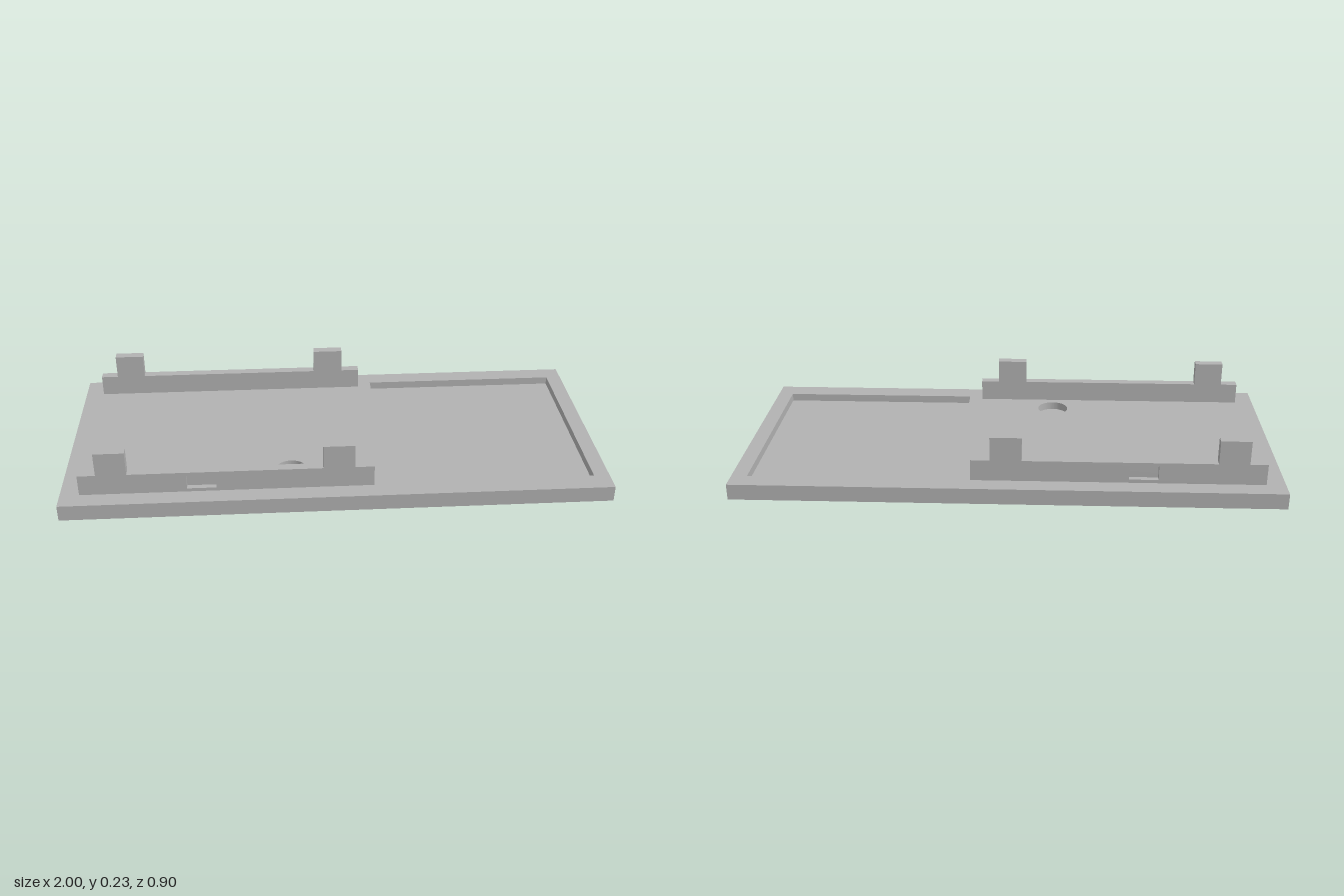
import * as THREE from 'three';

const BASE_H = 0.06, POCKET_DEPTH = 0.03;
const RAIL_Z = 0.349, RAIL_T = 0.034, RECESS = 0.02;

const rectangle = (Type, x0, x1, y0, y1) => new Type([
  new THREE.Vector2(x0, y0), new THREE.Vector2(x1, y0),
  new THREE.Vector2(x1, y1), new THREE.Vector2(x0, y1),
]);

const extrude = (shape, depth) =>
  new THREE.ExtrudeGeometry(shape, { depth, bevelEnabled: false, curveSegments: 32 });

// Rail silhouette with two raised tabs
function railShape() {
  return new THREE.Shape([
    [-0.93, 0.06], [0.13, 0.06], [0.13, 0.14], [0.06, 0.14], [0.06, 0.23], [-0.055, 0.23],
    [-0.055, 0.14], [-0.755, 0.14], [-0.755, 0.23], [-0.865, 0.23], [-0.865, 0.14], [-0.93, 0.14],
  ].map(([x, y]) => new THREE.Vector2(x, y)));
}

export function createModel() {
  const model = new THREE.Group();
  const grey = new THREE.MeshStandardMaterial({ color: 0xb2b2b2 });
  grey.name = 'plain grey';

  const add = (parent, name, geometry) => {
    const mesh = new THREE.Mesh(geometry, grey);
    mesh.name = name;
    parent.add(mesh);
    return mesh;
  };

  // Base: solid floor below a top layer with a square pocket and a round one
  const floorH = BASE_H - POCKET_DEPTH;
  add(model, 'baseFloor', new THREE.BoxGeometry(2, floorH, 0.9).translate(0, floorH / 2, 0));

  const top = rectangle(THREE.Shape, -1, 1, -0.45, 0.45);
  top.holes.push(rectangle(THREE.Path, 0.183, 0.942, -0.372, 0.38));
  top.holes.push(new THREE.Path().absarc(-0.167, -0.263, 0.06, 0, Math.PI * 2, true));
  add(model, 'baseTop', extrude(top, POCKET_DEPTH).rotateX(-Math.PI / 2).translate(0, floorH, 0));

  // Rails: solid inner layer, outer layer pierced to form a shallow window recess
  const pierced = railShape();
  pierced.holes.push(rectangle(THREE.Path, -0.545, -0.44, 0.073, 0.127));
  for (const side of [1, -1]) {
    const rail = new THREE.Group();
    rail.name = side > 0 ? 'frontRail' : 'backRail';
    const layer = (name, shape, z, depth) =>
      add(rail, name, extrude(shape, depth).translate(0, 0, side > 0 ? z : -z - depth));
    layer('railInner', railShape(), RAIL_Z, RAIL_T - RECESS);
    layer('railOuter', pierced, RAIL_Z + RAIL_T - RECESS, RECESS);
    model.add(rail);
  }
  return model;
}
